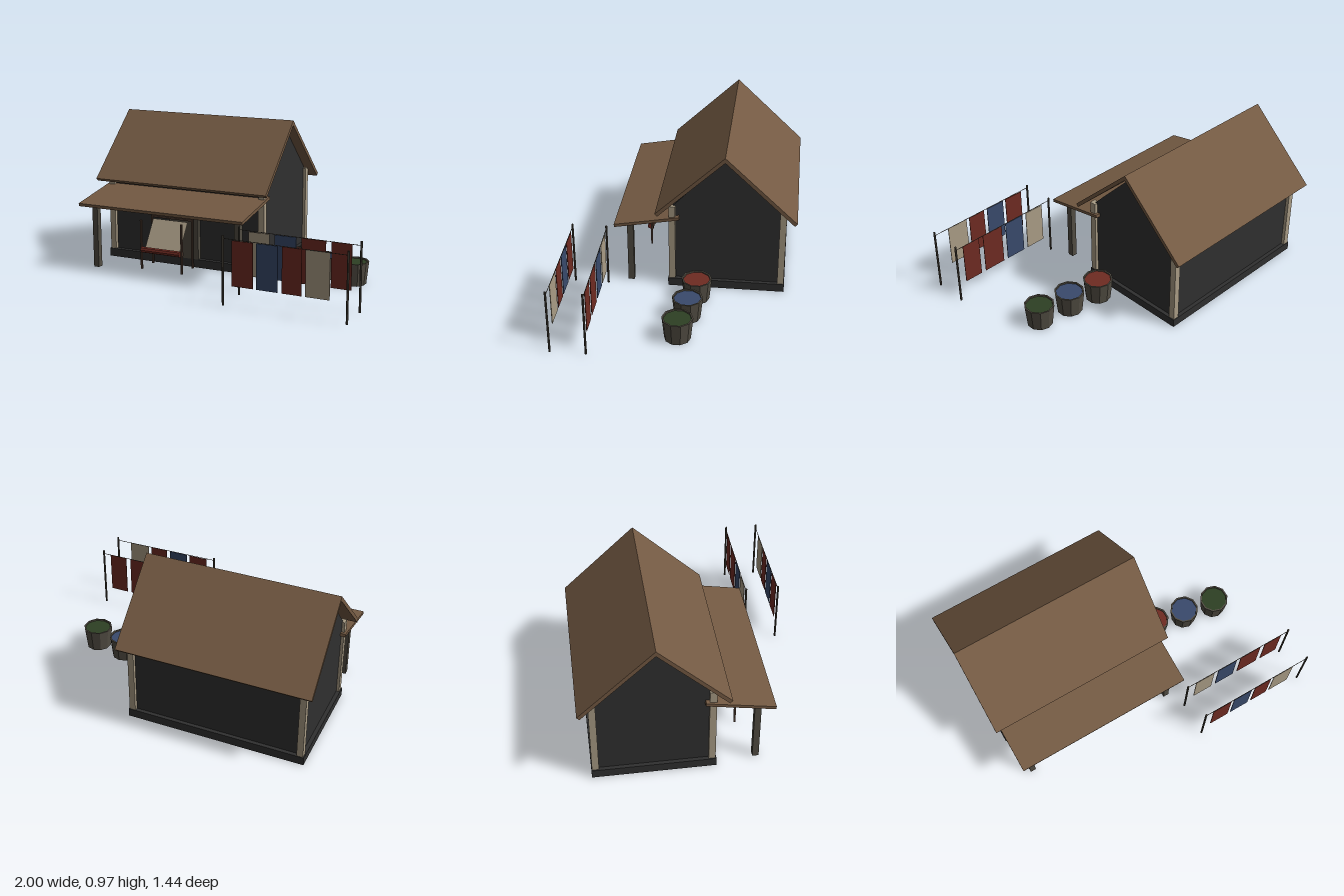
import * as THREE from 'three';

const mat = (name, color, double) => {
  const m = new THREE.MeshStandardMaterial({ color, flatShading: true });
  m.name = name;
  if (double) m.side = THREE.DoubleSide;
  return m;
};

export function createModel() {
  const group = new THREE.Group();
  const M = {
    roof: mat('roof brown', 0x745a43),
    wall: mat('dark wall', 0x303030),
    cream: mat('cream', 0xaa9d86, true),
    wood: mat('grey wood', 0x524d43),
    pole: mat('dark pole wood', 0x453f36),
    frame: mat('loom wood', 0x4e3b30),
    red: mat('red dye', 0x6f2b22, true),
    blue: mat('blue dye', 0x394a6c, true),
    green: mat('green dye', 0x2e4024, true),
  };
  const add = (name, geo, m, parent = group) => {
    const mesh = new THREE.Mesh(geo, m);
    mesh.name = name;
    parent.add(mesh);
    return mesh;
  };
  // Box given by its limits on each axis
  const box = (name, m, [x0, x1], [y0, y1], [z0, z1], parent) =>
    add(name, new THREE.BoxGeometry(x1 - x0, y1 - y0, z1 - z0)
      .translate((x0 + x1) / 2, (y0 + y1) / 2, (z0 + z1) / 2), m, parent);
  // Prism along x from a profile of [z, y] points
  const prism = (name, m, points, x0, x1) => {
    const shape = new THREE.Shape(points.map(([z, y]) => new THREE.Vector2(-z, y)));
    const geo = new THREE.ExtrudeGeometry(shape, { depth: x1 - x0, bevelEnabled: false });
    return add(name, geo.rotateY(Math.PI / 2).translate(x0, 0, 0), m);
  };
  // Sloping slab whose top edge runs between two [z, y] points
  const slab = (name, [z0, y0], [z1, y1], t, x0, x1) => {
    const l = Math.hypot(z1 - z0, y1 - y0), s = Math.sign(z1 - z0);
    const nz = s * (y1 - y0) / l * t, ny = -s * (z1 - z0) / l * t;
    prism(name, M.roof, [[z0, y0], [z1, y1], [z1 + nz, y1 + ny], [z0 + nz, y0 + ny]], x0, x1);
  };
  // Straight round bar between two points
  const bar = (name, m, a, b, r, sides, parent) => {
    const p = new THREE.Vector3(...a), q = new THREE.Vector3(...b);
    const mesh = add(name, new THREE.CylinderGeometry(r, r, p.distanceTo(q), sides), m, parent);
    mesh.position.copy(p).add(q).multiplyScalar(0.5);
    mesh.quaternion.setFromUnitVectors(new THREE.Vector3(0, 1, 0), q.sub(p).normalize());
    return mesh;
  };

  // House body
  box('foundation', M.wall, [-0.957, 0.207], [0, 0.055], [-0.655, 0.1]);
  prism('walls', M.wall,
    [[0.07, 0.055], [0.07, 0.585], [-0.268, 0.935], [-0.63, 0.585], [-0.63, 0.055]], -0.932, 0.182);
  for (const x of [-0.95, 0.162])
    for (const z of [-0.652, 0.053])
      box('cornerPost', M.cream, [x, x + 0.04], [0.055, 0.585], [z, z + 0.042]);
  box('door', M.wood, [-0.485, -0.27], [0.055, 0.4], [0.065, 0.1]);
  box('doorLintel', M.cream, [-0.515, -0.235], [0.4, 0.44], [0.065, 0.102]);

  // Roofs
  slab('roofFront', [0.178, 0.555], [-0.262, 0.97], 0.024, -1, 0.25);
  slab('roofBack', [-0.262, 0.97], [-0.72, 0.537], 0.024, -1, 0.25);
  slab('porchRoof', [0.447, 0.443], [0.03, 0.518], 0.02, -0.965, 0.215);
  for (const x of [-0.912, 0.125])
    box('porchPost', M.wood, [x, x + 0.038], [0, 0.43], [0.33, 0.37]);

  // Loom under the porch
  const loom = new THREE.Group();
  loom.name = 'loom';
  group.add(loom);
  for (const x of [-0.598, -0.298])
    for (const z of [0.13, 0.277])
      box('loomLeg', M.frame, [x - 0.006, x + 0.006], [0, 0.333], [z - 0.006, z + 0.006], loom);
  box('loomTopBar', M.frame, [-0.604, -0.292], [0.32, 0.333], [0.124, 0.136], loom);
  box('loomLowerBar', M.frame, [-0.604, -0.292], [0.12, 0.144], [0.266, 0.278], loom);
  bar('loomRoller', M.red, [-0.59, 0.135, 0.287], [-0.303, 0.135, 0.287], 0.02, 8, loom);
  const dz = 0.115, dy = 0.18;
  const web = add('loomCloth', new THREE.BoxGeometry(0.258, Math.hypot(dz, dy), 0.004), M.cream, loom);
  web.position.set(-0.449, 0.225, 0.2075);
  web.rotation.x = -Math.atan2(dz, dy);

  // Drying racks with hanging cloths: [start x, end x, colour]
  const racks = [
    [0.715, [[0.275, 0.41, 'red'], [0.432, 0.567, 'blue'], [0.593, 0.715, 'red'], [0.738, 0.885, 'cream']]],
    [0.495, [[0.28, 0.418, 'cream'], [0.45, 0.59, 'blue'], [0.623, 0.776, 'red'], [0.81, 0.936, 'red']]],
  ];
  for (const [z, cloths] of racks) {
    const rack = new THREE.Group();
    rack.name = 'dryingRack';
    group.add(rack);
    for (const x of [0.217, 0.991])
      bar('rackPole', M.pole, [x, 0, z], [x, 0.428, z], 0.007, 6, rack);
    bar('rackLine', M.pole, [0.217, 0.41, z], [0.991, 0.403, z], 0.002, 5, rack);
    for (const [x0, x1, c] of cloths)
      box('hangingCloth', M[c], [x0, x1], [0.126, 0.404], [z - 0.002, z + 0.002], rack);
  }

  // Dye vats
  const vatProfile = [[0, 0], [0.082, 0], [0.097, 0.147], [0.087, 0.147], [0.084, 0.12]]
    .map(([r, y]) => new THREE.Vector2(r, y));
  for (const [x, z, c] of [[0.332, -0.1, 'red'], [0.548, -0.064, 'blue'], [0.768, -0.027, 'green']]) {
    const vat = new THREE.Group();
    vat.name = 'dyeVat';
    vat.position.set(x, 0, z);
    group.add(vat);
    add('vatTub', new THREE.LatheGeometry(vatProfile, 10), M.wood, vat);
    add('vatDye', new THREE.CylinderGeometry(0.0865, 0.0865, 0.006, 10), M[c], vat).position.y = 0.135;
  }
  return group;
}
